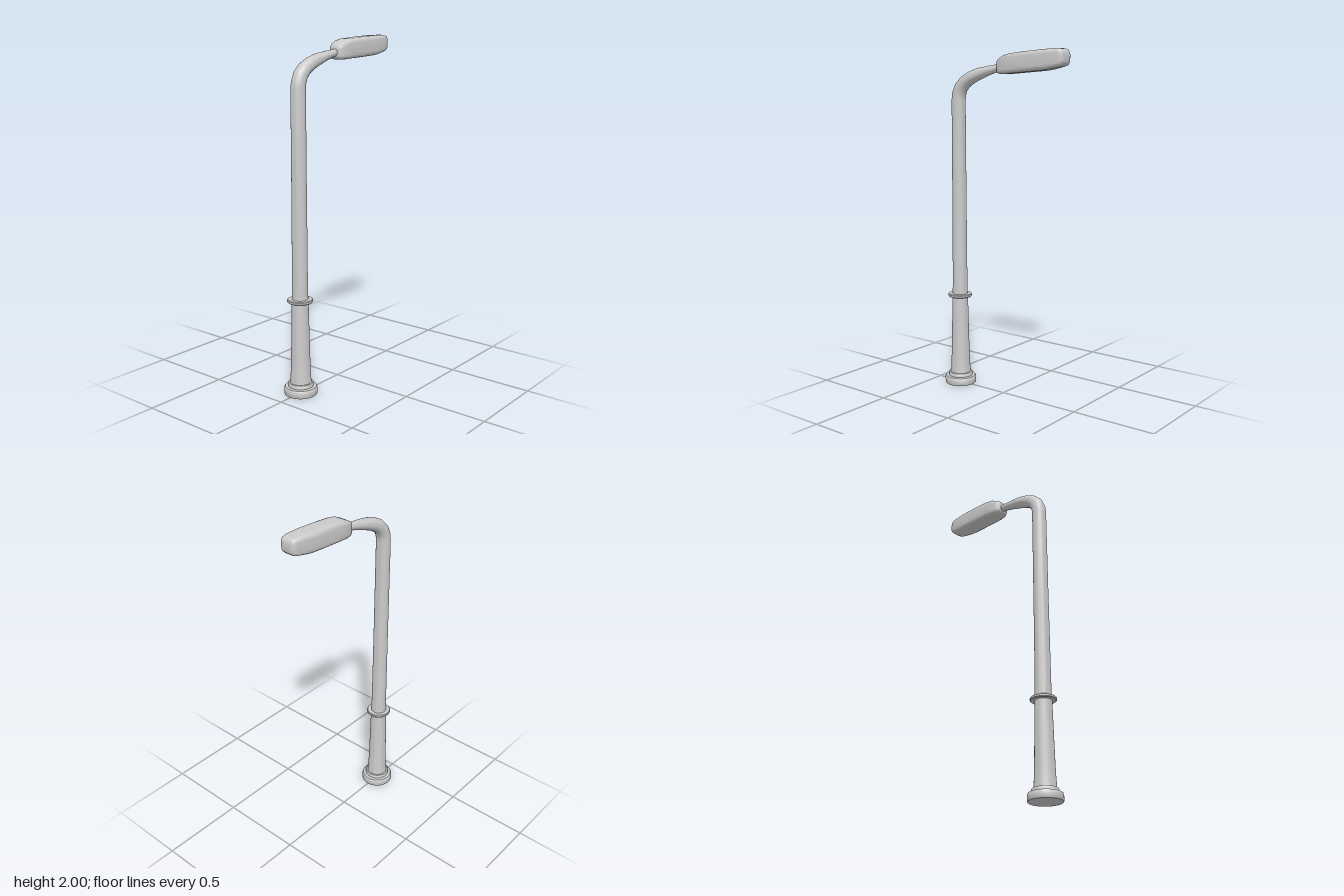
import * as THREE from 'three';
import { toCreasedNormals } from 'three/addons/utils/BufferGeometryUtils.js';

const material = new THREE.MeshStandardMaterial({ color: 0xcccccc });
const POLE_X = -0.332;

// Skins a list of closed rings (all the same length) and caps both ends.
function loft(rings) {
  const n = rings[0].length;
  const points = rings.flat();
  const index = [];
  for (let i = 0; i < rings.length - 1; i++) {
    for (let j = 0; j < n; j++) {
      const k = (j + 1) % n;
      const a = i * n + j, b = i * n + k, c = b + n, d = a + n;
      index.push(a, b, c, a, c, d);
    }
  }
  [0, rings.length - 1].forEach((r, end) => {
    const centre = new THREE.Vector3();
    rings[r].forEach((p) => centre.addScaledVector(p, 1 / n));
    const c = points.push(centre) - 1;
    for (let j = 0; j < n; j++) {
      const a = r * n + j, b = r * n + (j + 1) % n;
      index.push(c, ...(end ? [a, b] : [b, a]));
    }
  });
  const geometry = new THREE.BufferGeometry().setFromPoints(points);
  geometry.setIndex(index);
  return toCreasedNormals(geometry, 0.75);
}

// Round tube in the xy plane through [x, y, radius] stations.
function taperedTube(stations, sides) {
  return loft(stations.map(([x, y, r], i) => {
    const p = stations[Math.max(i - 1, 0)];
    const q = stations[Math.min(i + 1, stations.length - 1)];
    const t = new THREE.Vector2(q[0] - p[0], q[1] - p[1]).normalize();
    return Array.from({ length: sides }, (_, j) => {
      const a = (j / sides) * Math.PI * 2;
      const u = r * Math.cos(a);
      return new THREE.Vector3(x - t.y * u, y + t.x * u, r * Math.sin(a));
    });
  }));
}

// Soft box along x through [x, bottom, top, halfWidth] stations.
function softBox(stations, sides, power) {
  const squash = (v) => Math.sign(v) * Math.abs(v) ** (2 / power);
  return loft(stations.map(([x, bottom, top, w]) =>
    Array.from({ length: sides }, (_, j) => {
      const a = (j / sides) * Math.PI * 2;
      const y = (top + bottom) / 2 + ((top - bottom) / 2) * squash(Math.cos(a));
      return new THREE.Vector3(x, y, w * squash(Math.sin(a)));
    })));
}

function turned(profile) {
  const points = profile.map(([r, y]) => new THREE.Vector2(r, y));
  return toCreasedNormals(new THREE.LatheGeometry(points, 40), 0.75);
}

export function createModel() {
  const model = new THREE.Group();
  const add = (name, geometry, x = 0) => {
    const mesh = new THREE.Mesh(geometry, material);
    mesh.name = name;
    mesh.position.x = x;
    model.add(mesh);
  };

  // Stepped foot
  add('base', turned([
    [0, 0], [0.092, 0], [0.094, 0.004], [0.094, 0.038], [0.089, 0.045],
    [0.072, 0.047], [0.072, 0.064], [0.069, 0.068], [0.05, 0.07],
  ]), POLE_X);

  // Flared lower pole
  add('lowerPole', turned([
    [0.061, 0.066], [0.059, 0.09], [0.056, 0.15], [0.054, 0.22], [0.051, 0.35], [0.047, 0.55],
  ]), POLE_X);

  // Collar ring
  add('collar', turned([
    [0.04, 0.542], [0.068, 0.542], [0.072, 0.546], [0.072, 0.556], [0.068, 0.56], [0.04, 0.56],
  ]), POLE_X);

  // Upper pole bending over into the tapering arm
  add('poleAndArm', taperedTube([
    [POLE_X, 0.55, 0.046], [POLE_X, 0.66, 0.044], [POLE_X, 1.2, 0.042], [POLE_X, 1.72, 0.041],
    [-0.328, 1.755, 0.041], [-0.312, 1.793, 0.04], [-0.28, 1.825, 0.039], [-0.235, 1.85, 0.037],
    [-0.18, 1.87, 0.034], [-0.1, 1.89, 0.026], [-0.01, 1.908, 0.019],
  ], 28));

  // Lamp head
  add('lampHead', softBox([
    [-0.026, 1.88, 1.938, 0.03], [-0.02, 1.872, 1.946, 0.038], [0, 1.867, 1.958, 0.047],
    [0.03, 1.867, 1.972, 0.054], [0.07, 1.87, 1.98, 0.058], [0.17, 1.876, 1.989, 0.059],
    [0.28, 1.883, 1.996, 0.059], [0.32, 1.888, 1.998, 0.057], [0.39, 1.902, 2, 0.05],
    [0.41, 1.909, 1.996, 0.046], [0.42, 1.92, 1.984, 0.04], [0.423, 1.93, 1.974, 0.032],
  ], 40, 5));

  return model;
}
